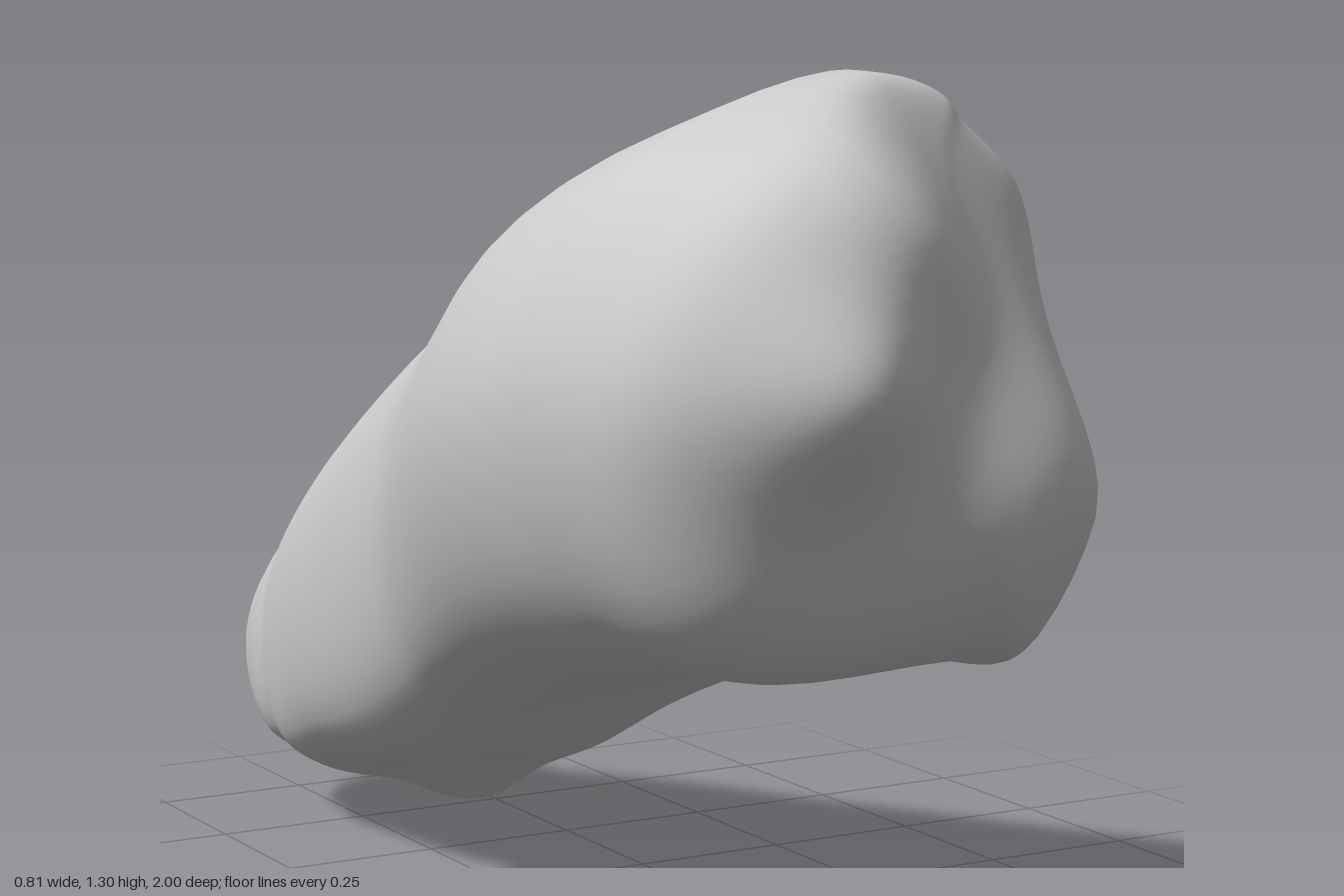
import * as THREE from 'three';

// Lengthwise stations, back to front:
// z, ridge top, main bottom, side-lobe bottom, -x edge, +x edge, ridge x, side-lobe top, groove x, groove y
const STATIONS = [
  [-0.99, 0.34, 0.23, 0.23, -0.07, 0.04, -0.01, 0.30, 0.03, 0.32],
  [-0.94, 0.41, 0.17, 0.17, -0.12, 0.09, -0.02, 0.31, 0.07, 0.35],
  [-0.85, 0.50, 0.11, 0.12, -0.15, 0.12, -0.02, 0.34, 0.10, 0.38],
  [-0.81, 0.54, 0.11, 0.01, -0.15, 0.27, -0.02, 0.21, 0.14, 0.23],
  [-0.75, 0.59, 0.10, 0.01, -0.17, 0.31, -0.02, 0.26, 0.16, 0.27],
  [-0.60, 0.70, 0.14, 0.09, -0.20, 0.34, -0.02, 0.39, 0.18, 0.39],
  [-0.40, 0.83, 0.19, 0.17, -0.22, 0.35, -0.02, 0.52, 0.18, 0.53],
  [-0.20, 0.95, 0.28, 0.27, -0.24, 0.36, 0.00, 0.65, 0.20, 0.67],
  [0.00, 1.06, 0.36, 0.35, -0.31, 0.36, 0.02, 0.77, 0.22, 0.81],
  [0.20, 1.18, 0.43, 0.42, -0.37, 0.37, 0.04, 0.91, 0.23, 0.98],
  [0.40, 1.25, 0.48, 0.47, -0.40, 0.39, 0.05, 1.07, 0.23, 1.14],
  [0.55, 1.30, 0.51, 0.50, -0.39, 0.40, 0.07, 1.15, 0.24, 1.24],
];
const SIDES = 72, LENGTH_STEPS = 66, CAP_STEPS = 20;
const { lerp, smoothstep } = THREE.MathUtils;

// Closed cross-section: tall main lobe, steep wall down to a sloping side lobe, flat underside
function section([z, top, bottom, sideBottom, left, right, cx, sideTop, gx, gy]) {
  const mid = (top + bottom) / 2, sideHeight = sideTop - sideBottom, sideWidth = right - gx;
  const full = smoothstep(z, 0, 0.5); // the side lobe fills out towards the head
  const pts = [
    [cx, top],
    [cx + (left - cx) * 0.72, mid + (top - mid) * 0.66],
    [left, mid],
    [cx + (left - cx) * 0.83, bottom + (mid - bottom) * 0.25],
    [left * 0.4, bottom],
    [cx + (gx - cx) * 0.6, (bottom + sideBottom) / 2],
    [right - (right - left) * 0.16, sideBottom],
    [right, sideBottom + sideHeight * lerp(0.22, 0.35, full)],
    [right - sideWidth * lerp(0.28, 0.1, full), sideBottom + sideHeight * lerp(0.54, 0.75, full)],
    [gx + sideWidth * lerp(0.36, 0.6, full), sideBottom + sideHeight * lerp(0.83, 1, full)],
    [gx, gy],
    [cx + (gx - cx) * 0.82, gy + (top - gy) * 0.55],
  ].map(([x, y]) => new THREE.Vector3(x, y, z));
  return new THREE.CatmullRomCurve3(pts, true).getPoints(SIDES).slice(0, SIDES);
}

// Depth of the front face: a small nose, a full upper part, a shallow dish, a recessed upper +x corner
function faceDepth(x, y) {
  const bump = (px, py, wx, wy) => Math.exp(-((x - px) ** 2) / wx - ((y - py) ** 2) / wy);
  const corner = smoothstep(x * 1.1 + (y - 0.95), 0.12, 0.5);
  return 0.87 + 0.12 * bump(-0.15, 0.92, 0.025, 0.02) + 0.05 * bump(-0.08, 1.12, 0.05, 0.02)
    - 0.02 * bump(0.1, 0.98, 0.02, 0.02) + 0.03 * bump(0.2, 0.74, 0.04, 0.02) - 0.22 * corner;
}

function boneGeometry() {
  const sections = STATIONS.map(section);
  const rails = [];
  for (let j = 0; j < SIDES; j++) {
    rails.push(new THREE.CatmullRomCurve3(sections.map((s) => s[j])).getPoints(LENGTH_STEPS));
  }
  const rings = [];
  for (let i = 0; i <= LENGTH_STEPS; i++) rings.push(rails.map((r) => r[i]));

  // Front cap shrinking towards its centre, squarer at the top than below
  const rim = rings[LENGTH_STEPS], center = new THREE.Vector2(-0.01, 0.9);
  for (let k = 1; k < CAP_STEPS; k++) {
    const s = Math.cos((k / CAP_STEPS) * Math.PI / 2);
    rings.push(rim.map((p) => {
      const n = lerp(3.4, 6, smoothstep(p.y, 0.7, 1.3));
      const rise = Math.pow(1 - s ** n, 1 / n);
      const x = center.x + (p.x - center.x) * s, y = center.y + (p.y - center.y) * s;
      return new THREE.Vector3(x, y, p.z + (faceDepth(x, y) - p.z) * rise);
    }));
  }

  const points = rings.flat(), index = [];
  for (let i = 0; i < rings.length - 1; i++) {
    for (let j = 0; j < SIDES; j++) {
      const a = i * SIDES + j, b = i * SIDES + (j + 1) % SIDES;
      index.push(a, b, a + SIDES, b, b + SIDES, a + SIDES);
    }
  }
  // Close both ends
  const back = points.push(new THREE.Vector3(-0.01, 0.29, -1)) - 1;
  const front = points.push(new THREE.Vector3(center.x, center.y, faceDepth(center.x, center.y))) - 1;
  const last = (rings.length - 1) * SIDES;
  for (let j = 0; j < SIDES; j++) {
    const n = (j + 1) % SIDES;
    index.push(back, n, j, front, last + j, last + n);
  }

  const geo = new THREE.BufferGeometry().setFromPoints(points);
  geo.setIndex(index);
  // Rest on the ground, centred
  geo.computeBoundingBox();
  const { min, max } = geo.boundingBox;
  geo.translate(-(min.x + max.x) / 2, -min.y, -(min.z + max.z) / 2);
  geo.computeVertexNormals();
  return geo;
}

export function createModel() {
  const group = new THREE.Group();
  group.name = 'boneFragment';
  const mesh = new THREE.Mesh(boneGeometry(), new THREE.MeshStandardMaterial({ color: 0xcccccc }));
  mesh.name = 'boneBody';
  group.add(mesh);
  return group;
}
